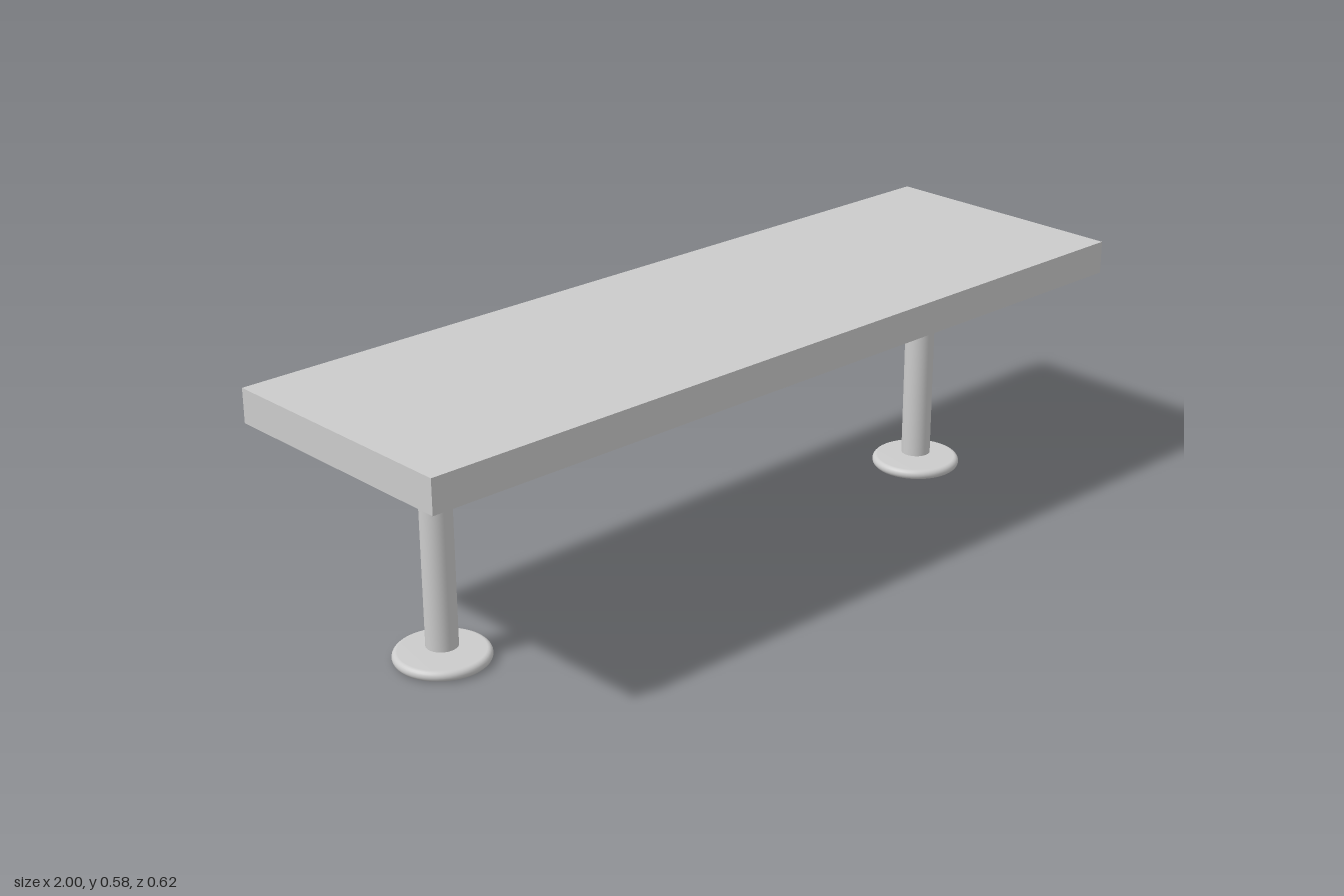
import * as THREE from 'three';

const material = new THREE.MeshStandardMaterial({ color: 0xcccccc });

function addPart(parent, name, geometry, x, y) {
  const mesh = new THREE.Mesh(geometry, material);
  mesh.name = name;
  mesh.position.set(x, y, 0);
  parent.add(mesh);
}

// Round disc with a softly rounded rim
function footGeometry(radius, height) {
  const r = height / 2;
  const points = [new THREE.Vector2(0, 0)];
  for (let i = 0; i <= 10; i++) {
    const a = -Math.PI / 2 + (i / 10) * Math.PI;
    points.push(new THREE.Vector2(radius - r + r * Math.cos(a), r + r * Math.sin(a)));
  }
  points.push(new THREE.Vector2(0, height));
  return new THREE.LatheGeometry(points, 48);
}

export function createModel() {
  const bench = new THREE.Group();
  bench.name = 'bench';

  // Seat slab
  const seatBottom = 0.508, seatTop = 0.585;
  addPart(bench, 'seat', new THREE.BoxGeometry(2, seatTop - seatBottom, 0.62), 0, (seatBottom + seatTop) / 2);

  // Two pedestal legs, each post held just clear of its foot disc
  const postBottom = 0.034;
  const postGeometry = new THREE.CylinderGeometry(0.035, 0.035, seatBottom - postBottom, 40);
  const discGeometry = footGeometry(0.106, 0.024);
  for (const [name, x] of [['leftLeg', 0.712], ['rightLeg', -0.763]]) {
    const leg = new THREE.Group();
    leg.name = name;
    leg.position.x = x;
    addPart(leg, 'post', postGeometry, 0, (seatBottom + postBottom) / 2);
    addPart(leg, 'foot', discGeometry, 0, 0);
    bench.add(leg);
  }
  return bench;
}
